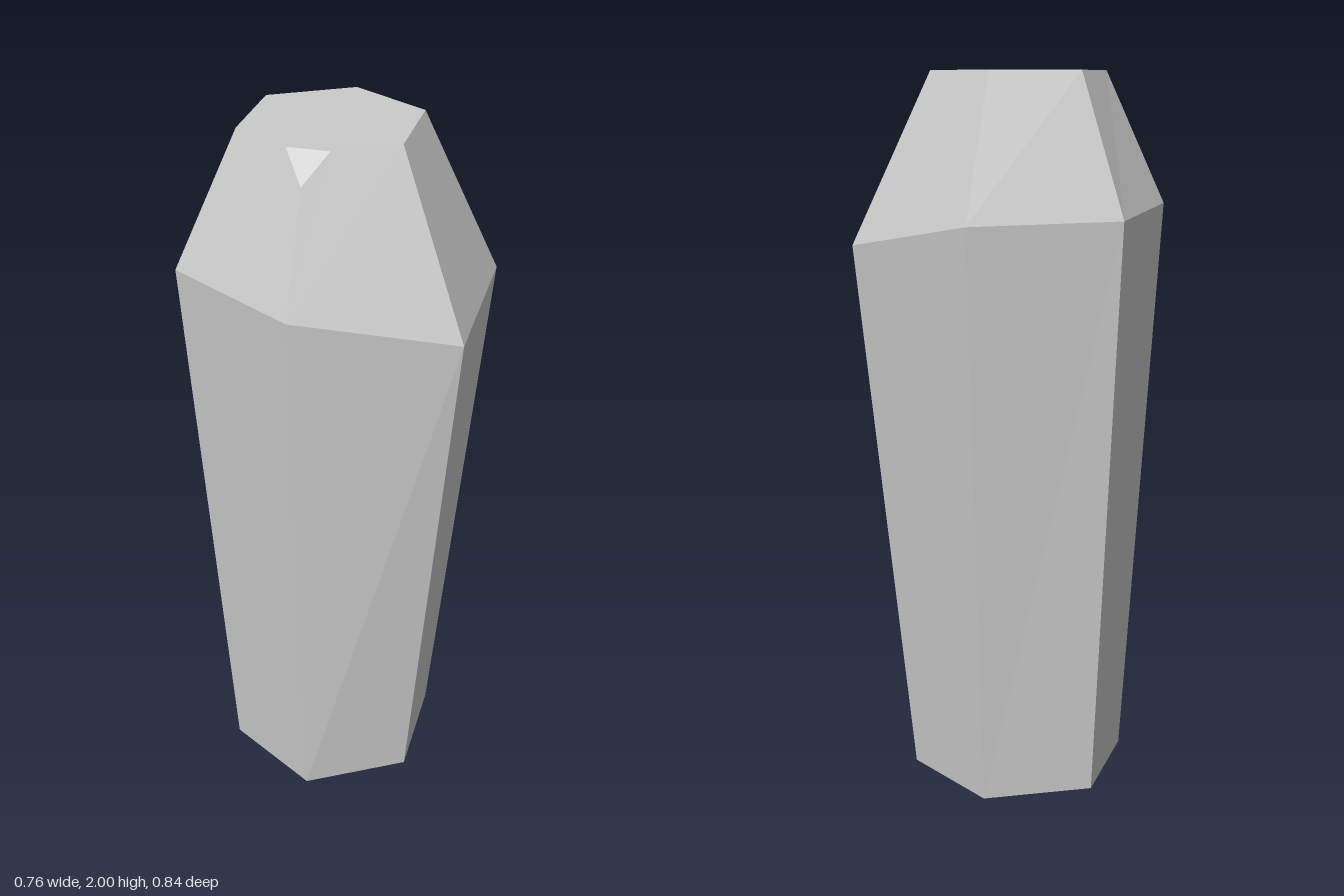
import * as THREE from 'three';

const V = (x, y, z) => new THREE.Vector3(x, y, z);

// Regular six-sided ring, starting front right and running counterclockwise from above
const hexRing = (radius, y, cx, cz) => Array.from({ length: 6 }, (_, i) => {
  const a = -Math.PI / 6 + i * Math.PI / 3;
  return V(cx + radius * Math.cos(a), y, cz - radius * Math.sin(a));
});

// Flat-shaded mesh from convex outward-facing polygons
function facetMesh(name, polygons, material) {
  const points = [];
  for (const p of polygons) {
    for (let i = 1; i < p.length - 1; i++) points.push(p[0], p[i], p[i + 1]);
  }
  const geometry = new THREE.BufferGeometry().setFromPoints(points);
  geometry.computeVertexNormals();
  const mesh = new THREE.Mesh(geometry, material);
  mesh.name = name;
  return mesh;
}

export function createModel() {
  const group = new THREE.Group();
  group.name = 'crystal';
  const material = new THREE.MeshStandardMaterial({ color: 0xcccccc, flatShading: true });

  const base = hexRing(0.312, 0, -0.021, 0.008);
  const top = hexRing(0.242, 2, -0.021, 0.005);

  // Uneven shoulder where the shaft meets the crown
  const shoulder = [
    V(0.378, 1.54, 0.236), V(0.378, 1.54, -0.226), V(-0.021, 1.62, -0.418),
    V(-0.37, 1.625, -0.196), V(-0.379, 1.64, 0.212), V(-0.021, 1.64, 0.418),
  ];

  // Chipped front corner of the crown
  const chipLeft = V(-0.076, 2, 0.215);
  const chipRight = V(0.034, 2, 0.215);
  const chipTip = V(-0.021, 1.93, 0.281);

  // Shaft: six tapering sides and the underside
  const shaft = base.map((b, i) => {
    const j = (i + 1) % 6;
    return [b, base[j], shoulder[j], shoulder[i]];
  });
  shaft.push([...base].reverse());
  group.add(facetMesh('shaft', shaft, material));

  // Crown: four whole facets, two facets trimmed by the chip, the chip and the flat top
  const crown = [];
  for (let i = 0; i < 4; i++) crown.push([shoulder[i], shoulder[i + 1], top[i + 1], top[i]]);
  crown.push([shoulder[4], shoulder[5], chipTip, chipLeft, top[4]]);
  crown.push([shoulder[5], shoulder[0], top[0], chipRight, chipTip]);
  crown.push([chipTip, chipRight, chipLeft]);
  crown.push([...top.slice(0, 5), chipLeft, chipRight]);
  group.add(facetMesh('crown', crown, material));

  return group;
}
